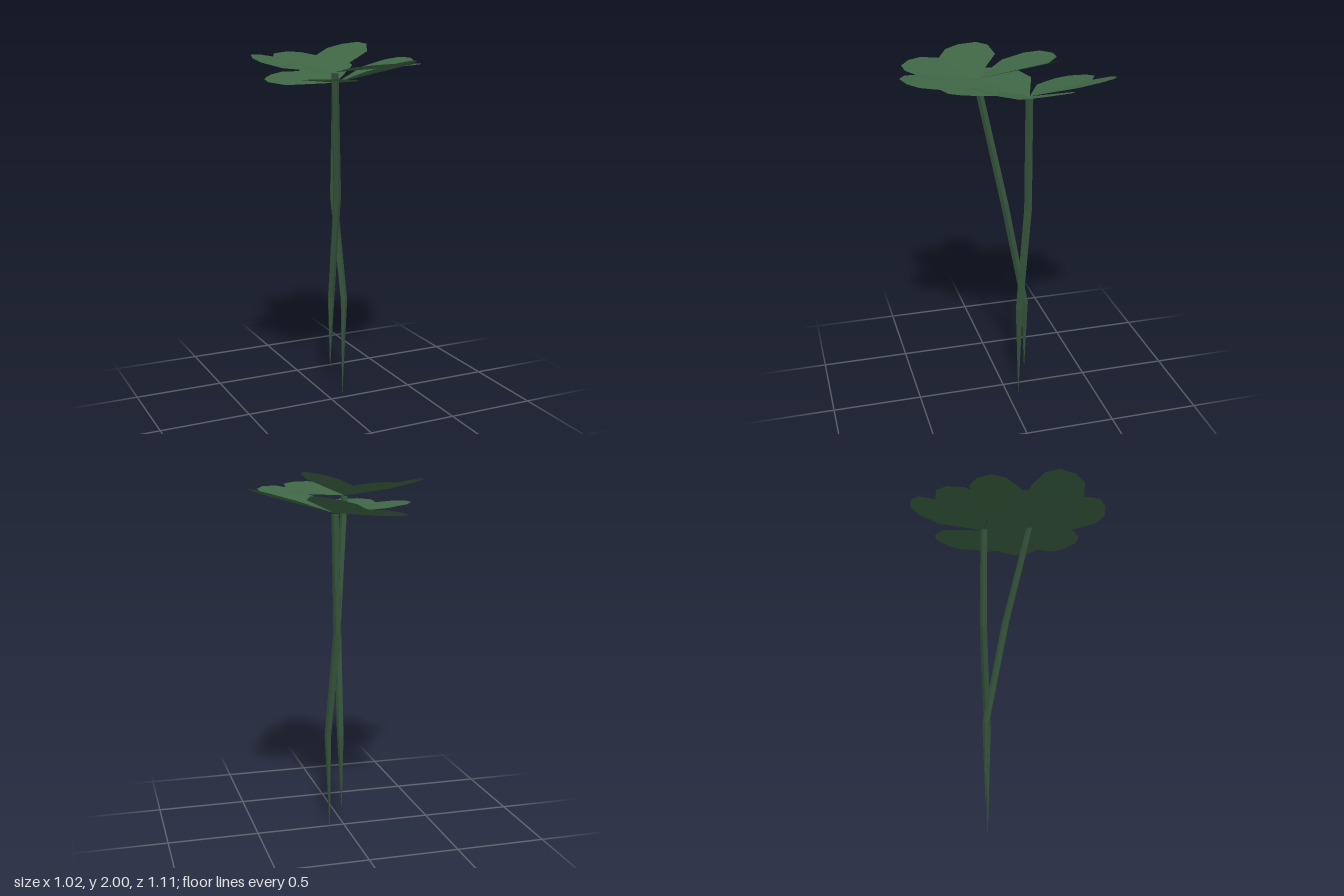
import * as THREE from 'three';

const leafMaterial = new THREE.MeshStandardMaterial({ color: 0x3f6645, side: THREE.DoubleSide });
const stemMaterial = new THREE.MeshStandardMaterial({ color: 0x33523a, flatShading: true });

// Half outline of a heart-shaped leaf: distance along the midrib, distance to the side
const HALF = [[0.156, 0.225], [0.282, 0.262], [0.362, 0.239], [0.42, 0.16], [0.43, 0.08]];
const OUTLINE = [...HALF, [0.37, 0], ...HALF.map(([u, v]) => [u, -v]).reverse()];

// Leaf fan from its base: slope lifts the tip, roll tilts sideways, fold raises both halves
function makeLeaf(degrees, slope, roll, fold) {
  const a = THREE.MathUtils.degToRad(degrees);
  const c = Math.cos(a), s = Math.sin(a);
  const positions = [0, 0, 0];
  const index = [];
  const rings = [0.5, 1];
  const n = OUTLINE.length;
  for (const k of rings) {
    for (const [pu, pv] of OUTLINE) {
      const u = pu * k, v = pv * k;
      positions.push(u * c - v * s, slope * u + roll * v + fold * Math.abs(v), u * s + v * c);
    }
  }
  for (let i = 0; i < n - 1; i++) {
    const p = 1 + i, q = p + n;
    index.push(0, p, p + 1, p, q, q + 1, p, q + 1, p + 1);
  }
  const geometry = new THREE.BufferGeometry();
  geometry.setAttribute('position', new THREE.Float32BufferAttribute(positions, 3));
  geometry.setIndex(index);
  geometry.computeVertexNormals();
  const leaf = new THREE.Mesh(geometry, leafMaterial);
  leaf.name = 'leaf';
  return leaf;
}

// Angular stem through [x, y, z, radius] stations, listed from top to bottom
function makeStem(stations, sides = 5) {
  const positions = [];
  const index = [];
  stations.forEach(([x, y, z, r], j) => {
    for (let i = 0; i < sides; i++) {
      const a = (i / sides) * Math.PI * 2;
      positions.push(x + r * Math.sin(a), y, z + r * Math.cos(a));
      if (j === 0) continue;
      const p = (j - 1) * sides + i, q = (j - 1) * sides + (i + 1) % sides;
      index.push(p, p + sides, q, q, p + sides, q + sides);
    }
  });
  for (let i = 1; i < sides - 1; i++) index.push(0, i, i + 1);
  const geometry = new THREE.BufferGeometry();
  geometry.setAttribute('position', new THREE.Float32BufferAttribute(positions, 3));
  geometry.setIndex(index);
  geometry.computeVertexNormals();
  const stem = new THREE.Mesh(geometry, stemMaterial);
  stem.name = 'stem';
  return stem;
}

function makeClover(name, centre, leaves, stations) {
  const clover = new THREE.Group();
  clover.name = name;
  for (const settings of leaves) {
    const leaf = makeLeaf(...settings);
    leaf.position.set(...centre);
    clover.add(leaf);
  }
  clover.add(makeStem(stations));
  return clover;
}

export function createModel() {
  const model = new THREE.Group();
  model.name = 'cloverPair';

  // Leaves are [direction, slope, roll, fold]
  model.add(makeClover('upperClover', [-0.04, 1.86, 0.13],
    [[-81, 0.19, 0.12, 0.18], [160, 0.1, 0.13, 0.11], [42, 0.1, 0.05, 0.05]],
    [[-0.04, 1.855, 0.13, 0.02], [0.035, 1.18, 0, 0.022], [0.05, 0.57, -0.113, 0.02], [0.045, 0.15, -0.115, 0.001]]));

  model.add(makeClover('lowerClover', [0.085, 1.785, -0.12],
    [[-100, 0.12, 0.21, 0.07], [24, 0.24, 0, 0.17], [143, 0.1, 0, 0.05]],
    [[0.08, 1.78, -0.12, 0.021], [0.07, 1.15, -0.122, 0.022], [0.108, 0.56, -0.065, 0.02], [0.1, 0, -0.065, 0.001]]));

  return model;
}
